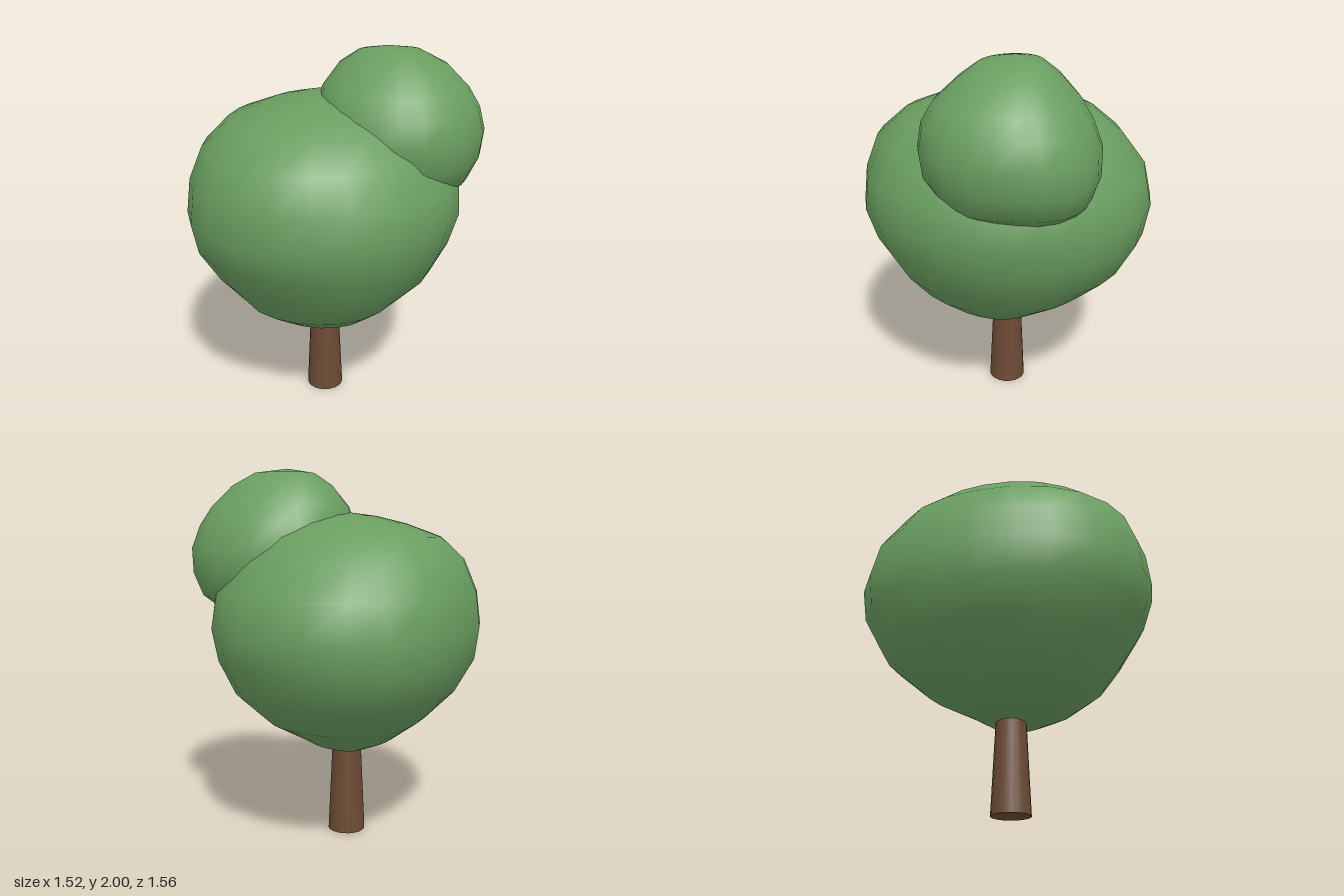
import * as THREE from 'three';

const leafGreen = new THREE.MeshStandardMaterial({ color: 0x6a9e60 });
leafGreen.name = 'leafGreen';
const barkBrown = new THREE.MeshStandardMaterial({ color: 0x6c4b35 });
barkBrown.name = 'barkBrown';

const SIDES = 24;

// Lumpy foliage: rings of [y, xMin, xMax, zMin, zMax] from bottom to top around (cx, cz).
// roundness: superellipse exponents [lowest ring, highest ring] of the
// quadrants +x+z, -x+z, -x-z, +x-z.
function foliage(name, rings, cx, cz, bottom, top, roundness) {
  const points = [...bottom];
  rings.forEach(([y, x0, x1, z0, z1], k) => {
    for (let i = 0; i < SIDES; i++) {
      const a = (i / SIDES) * Math.PI * 2;
      const c = Math.cos(a), s = Math.sin(a);
      const [low, high] = roundness[Math.floor((i * 4) / SIDES)];
      const n = THREE.MathUtils.lerp(low, high, k / (rings.length - 1));
      const r = 1 / Math.pow(Math.abs(c) ** n + Math.abs(s) ** n, 1 / n);
      points.push(
        cx + c * r * (c > 0 ? x1 - cx : cx - x0), y,
        cz + s * r * (s > 0 ? z1 - cz : cz - z0));
    }
  });
  points.push(...top);

  const index = [];
  const last = points.length / 3 - 1;
  const at = (ring, i) => 1 + ring * SIDES + (i % SIDES);
  for (let i = 0; i < SIDES; i++) {
    index.push(0, at(0, i), at(0, i + 1));
    for (let k = 0; k < rings.length - 1; k++) {
      index.push(at(k, i), at(k + 1, i), at(k, i + 1));
      index.push(at(k, i + 1), at(k + 1, i), at(k + 1, i + 1));
    }
    index.push(at(rings.length - 1, i), last, at(rings.length - 1, i + 1));
  }
  const geometry = new THREE.BufferGeometry();
  geometry.setAttribute('position', new THREE.Float32BufferAttribute(points, 3));
  geometry.setIndex(index);
  geometry.computeVertexNormals();
  const mesh = new THREE.Mesh(geometry, leafGreen);
  mesh.name = name;
  return mesh;
}

export function createModel() {
  const tree = new THREE.Group();
  tree.name = 'tree';

  // Tapered trunk, its top hidden in the canopy
  const trunk = new THREE.Mesh(new THREE.CylinderGeometry(0.075, 0.103, 0.6, 20), barkBrown);
  trunk.name = 'trunk';
  trunk.position.set(-0.06, 0.3, 0);
  tree.add(trunk);

  // Large canopy, boxier below and slimmer above
  tree.add(foliage('mainCanopy', [
    [0.49, -0.19, 0.14, -0.14, 0.16],
    [0.55, -0.33, 0.25, -0.24, 0.33],
    [0.66, -0.48, 0.38, -0.46, 0.49],
    [0.82, -0.64, 0.54, -0.65, 0.60],
    [1.00, -0.74, 0.63, -0.75, 0.72],
    [1.17, -0.76, 0.68, -0.78, 0.78],
    [1.35, -0.74, 0.67, -0.74, 0.76],
    [1.52, -0.67, 0.56, -0.61, 0.70],
    [1.64, -0.55, 0.44, -0.47, 0.56],
    [1.71, -0.36, 0.34, -0.33, 0.39],
    [1.75, -0.20, 0.20, -0.17, 0.23],
  ], -0.06, 0, [-0.01, 0.46, 0], [-0.05, 1.77, 0.03],
  [[2.3, 1.8], [2.4, 2.0], [3.1, 2.1], [2.1, 1.6]]));

  // Small upper canopy, drooping over the back of the left side
  tree.add(foliage('upperCanopy', [
    [1.26, 0.16, 0.59, -0.43, 0.13],
    [1.33, 0.04, 0.69, -0.50, 0.26],
    [1.45, -0.06, 0.745, -0.54, 0.33],
    [1.58, -0.10, 0.76, -0.54, 0.35],
    [1.70, -0.11, 0.73, -0.49, 0.33],
    [1.80, -0.08, 0.67, -0.43, 0.27],
    [1.91, 0.00, 0.56, -0.33, 0.15],
    [1.975, 0.10, 0.42, -0.25, 0.06],
  ], 0.32, -0.1, [0.36, 1.21, -0.16], [0.25, 2, -0.1],
  [[2.2, 2.1], [2, 2], [2.1, 2.1], [2.6, 2.1]]));

  return tree;
}
